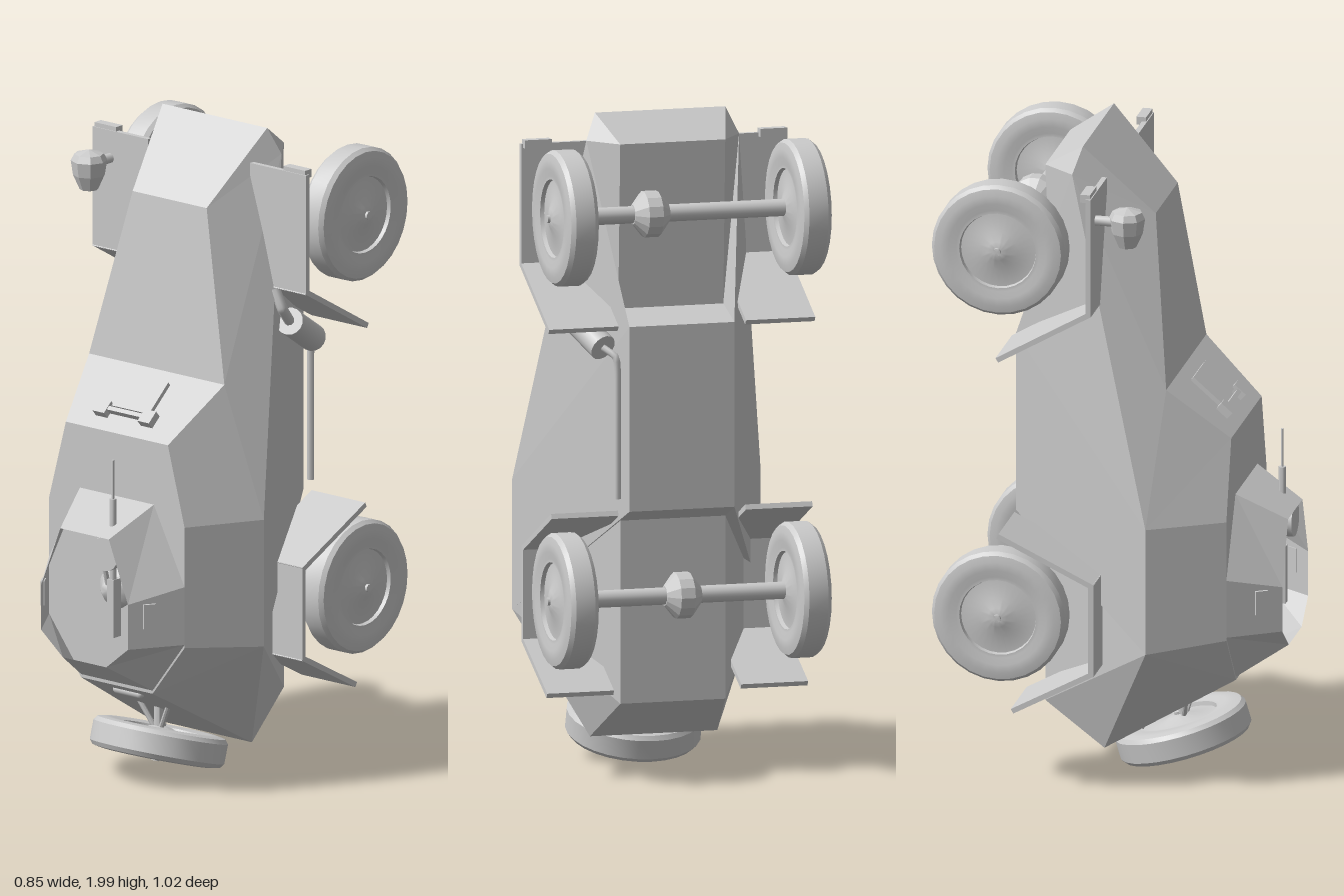
import * as THREE from 'three';
import { toCreasedNormals } from 'three/addons/utils/BufferGeometryUtils.js';

const V = (x, y, z) => new THREE.Vector3(x, y, z);
const grey = new THREE.MeshStandardMaterial({ color: 0xcccccc, flatShading: true, side: THREE.DoubleSide });
const smooth = new THREE.MeshStandardMaterial({ color: 0xcccccc, side: THREE.DoubleSide });

export function createModel() {
  const root = new THREE.Group();
  root.name = 'armouredCar';

  function add(name, geometry, pos = [0, 0, 0], parent = root, material = grey) {
    const mesh = new THREE.Mesh(geometry, material);
    mesh.name = name;
    mesh.position.set(...pos);
    parent.add(mesh);
    return mesh;
  }
  const box = (name, size, pos, parent) => add(name, new THREE.BoxGeometry(...size), pos, parent);

  // Round bar between two points
  function rod(name, a, b, r, sides = 12, r2 = r) {
    const d = b.clone().sub(a);
    const geo = toCreasedNormals(new THREE.CylinderGeometry(r2, r, d.length(), sides), 0.9);
    const mesh = add(name, geo, a.clone().add(b).multiplyScalar(0.5).toArray(), root, smooth);
    mesh.quaternion.setFromUnitVectors(V(0, 1, 0), d.normalize());
    return mesh;
  }

  // Armour shell: a centre chain of plates spanning left to right, plus mirrored side plates
  function shell(name, points, chain, sides, centre) {
    const out = [];
    const mirror = p => V(-p.x, p.y, p.z);
    const tri = (a, b, c) => {
      const n = b.clone().sub(a).cross(c.clone().sub(a));
      const mid = a.clone().add(b).add(c).divideScalar(3).sub(centre);
      const order = n.dot(mid) < 0 ? [a, c, b] : [a, b, c];
      order.forEach(p => out.push(p.x, p.y, p.z));
    };
    const pt = key => V(...points[key]);
    for (let i = 0; i + 1 < chain.length; i++) {
      const p = pt(chain[i]), q = pt(chain[i + 1]);
      tri(p, mirror(p), mirror(q));
      tri(p, mirror(q), q);
    }
    for (const face of sides) {
      const [a, ...rest] = face.map(pt);
      for (let i = 0; i + 1 < rest.length; i++) {
        tri(a, rest[i], rest[i + 1]);
        tri(mirror(a), mirror(rest[i]), mirror(rest[i + 1]));
      }
    }
    const geo = new THREE.BufferGeometry();
    geo.setAttribute('position', new THREE.Float32BufferAttribute(out, 3));
    geo.computeVertexNormals();
    return add(name, geo);
  }

  // Hull: nose (N), deck (D), widest side crease (S), tail (R), belly (B)
  shell('hull', {
    N0: [0.205, 2, -0.095], N1: [0.24, 1.92, -0.12], N2: [0.165, 1.92, -0.22],
    D0: [0.145, 1.785, 0.115], D1: [0.265, 1.27, 0.175], D2: [0.2, 1.11, 0.36],
    D3: [0.265, 0.865, 0.36], D4: [0.265, 0.49, 0.36], D5: [0.14, 0.325, 0.36],
    S1: [0.39, 0.865, 0.14], S2: [0.39, 0.47, 0.14],
    R0: [0.2, 0.1, -0.03], R1: [0.165, 0.225, -0.22],
    B1: [0.165, 1.42, -0.2], B2: [0.165, 1.38, -0.31], B3: [0.165, 0.82, -0.31], B4: [0.165, 0.78, -0.22],
  },
  ['N2', 'N0', 'D0', 'D1', 'D2', 'D3', 'D4', 'D5', 'R0', 'R1', 'B4', 'B3', 'B2', 'B1', 'N2'],
  [['N0', 'N1', 'N2'], ['N0', 'N1', 'D0'], ['N1', 'D1', 'D0'], ['N1', 'S1', 'D1'], ['D1', 'S1', 'D2'],
    ['D2', 'S1', 'D3'], ['S1', 'S2', 'D4', 'D3'], ['S2', 'D5', 'D4'], ['S2', 'R0', 'D5'],
    ['N1', 'N2', 'B1'], ['N1', 'B1', 'B2'], ['N1', 'B2', 'S1'], ['S1', 'B2', 'B3', 'S2'],
    ['S2', 'B3', 'B4'], ['S2', 'B4', 'R1', 'R0']],
  V(0, 0.95, -0.02));

  // Open-topped turret: eight leaning walls
  shell('turretWalls', {
    a: [0.145, 0.915, 0.36], b: [0.265, 0.68, 0.36], c: [0.265, 0.5, 0.36], d: [0.14, 0.335, 0.36],
    A: [0.095, 0.83, 0.51], B: [0.17, 0.64, 0.51], C: [0.17, 0.5, 0.51], D: [0.085, 0.43, 0.51],
  }, [], [['a', 'b', 'B', 'A'], ['b', 'c', 'C', 'B'], ['c', 'd', 'D', 'C']], V(0, 0.6, 0.42));
  shell('turretEndWalls', {
    a: [0.145, 0.915, 0.36], A: [0.095, 0.83, 0.51],
  }, ['a', 'A'], [], V(0, 0.6, 0.42));
  shell('turretEndWalls', {
    d: [0.14, 0.335, 0.36], D: [0.085, 0.43, 0.51],
  }, ['d', 'D'], [], V(0, 0.6, 0.42));
  for (const s of [-1, 1]) {
    const flap = box('turretVisionFlap', [0.012, 0.075, 0.04], [s * 0.208, 0.6, 0.455]);
    flap.rotation.y = -s * 0.56;
  }

  // Turret gun, drum, seat and post
  box('gunBody', [0.025, 0.18, 0.035], [0.065, 0.6, 0.45]);
  rod('gunJacket', V(0.065, 0.68, 0.455), V(0.065, 0.94, 0.455), 0.011, 10);
  rod('gunBarrel', V(0.065, 0.94, 0.455), V(0.065, 1.06, 0.455), 0.004, 8);
  rod('gunDrum', V(0.065, 0.775, 0.47), V(0.065, 0.775, 0.495), 0.052, 16);
  rod('gunMount', V(0.065, 0.74, 0.36), V(0.065, 0.74, 0.45), 0.012, 8);
  rod('seat', V(0, 0.63, 0.365), V(0, 0.63, 0.41), 0.063, 16, 0.02);
  rod('seatPost', V(0, 0.64, 0.4), V(0, 0.8, 0.44), 0.008, 8);

  // Driver's visor on the sloping front plate
  const visor = new THREE.Group();
  visor.name = 'driverVisor';
  visor.position.set(0, 1.19, 0.268);
  visor.rotation.x = -0.858;
  root.add(visor);
  box('visorFlap', [0.16, 0.12, 0.014], [0, 0.02, 0.006], visor);
  box('visorHinge', [0.2, 0.014, 0.02], [0, -0.055, 0.012], visor);
  for (const s of [-1, 1]) box('visorHingeBlock', [0.045, 0.045, 0.025], [s * 0.088, -0.055, 0.012], visor);

  // Rear vision slot
  const slot = add('rearSlot', new THREE.CapsuleGeometry(0.013, 0.09, 4, 10), [0, 0.294, 0.305], root, smooth);
  slot.rotation.z = Math.PI / 2;

  // Wheel: lathe about its own axis, outer face towards +y
  const half = [[0.012, 0.058], [0.012, 0.05], [0.03, 0.046], [0.06, 0.034], [0.115, 0.03], [0.118, 0.042],
    [0.128, 0.042], [0.15, 0.048], [0.175, 0.047], [0.195, 0.043], [0.205, 0.03]];
  const profile = [[0, 0.058], ...half].map(([r, h]) => new THREE.Vector2(r, h));
  profile.push(...profile.map(p => new THREE.Vector2(p.x, -p.y)).reverse());
  const wheelGeo = toCreasedNormals(new THREE.LatheGeometry(profile.reverse(), 28), 0.35);
  function wheel(name, pos, outward) {
    const mesh = add(name, wheelGeo, pos, root, smooth);
    mesh.quaternion.setFromUnitVectors(V(0, 1, 0), outward.normalize());
  }

  // Axles with differentials
  const diffGeo = new THREE.LatheGeometry(
    [[0, -0.055], [0.03, -0.055], [0.07, -0.022], [0.07, 0.022], [0.03, 0.055], [0, 0.055]]
      .map(p => new THREE.Vector2(...p)), 14);
  for (const [end, y, diffX] of [['front', 1.72, 0.1], ['rear', 0.56, 0]]) {
    rod(end + 'Axle', V(-0.36, y, -0.31), V(0.36, y, -0.31), 0.026, 14);
    add(end + 'Differential', diffGeo, [diffX, y, -0.31]).rotation.z = Math.PI / 2;
    for (const s of [-1, 1]) wheel(end + 'Wheel', [s * 0.366, y, -0.31], V(s, 0, 0));
  }

  // Spare wheel on its bracket
  wheel('spareWheel', [0, 0.108, 0.165], V(0, -0.957, 0.29));
  rod('spareWheelBracket', V(0, 0.1, 0.165), V(0, 0.25, 0.165), 0.014, 8);
  for (const s of [-1, 1]) rod('spareWheelStrut', V(s * 0.06, 0.24, 0.19), V(0, 0.13, 0.165), 0.008, 8);

  // Mudguards: thin bent plates swept across the wheels, given as [z, y] lines
  function mudguard(name, line, inner, outer) {
    for (const s of [-1, 1]) {
      for (let i = 0; i + 1 < line.length; i++) {
        const [z0, y0] = line[i], [z1, y1] = line[i + 1];
        const plate = box(name, [outer - inner, Math.hypot(z1 - z0, y1 - y0) + 0.012, 0.016],
          [s * (inner + outer) / 2, (y0 + y1) / 2, (z0 + z1) / 2]);
        plate.rotation.x = Math.atan2(z1 - z0, y1 - y0);
      }
    }
  }
  mudguard('frontMudguard', [[-0.03, 1.9], [-0.03, 1.54], [-0.305, 1.38]], 0.2, 0.418);
  mudguard('rearMudguard', [[-0.305, 0.815], [-0.023, 0.68], [-0.023, 0.4], [-0.26, 0.27]], 0.2, 0.41);
  for (const s of [-1, 1]) box('mudguardLip', [0.085, 0.025, 0.03], [s * 0.37, 1.907, -0.04]);

  // Headlight
  const lamp = [[0, 1.74], [0.028, 1.745], [0.048, 1.79], [0.055, 1.835], [0.045, 1.855], [0, 1.868]];
  add('headlight', new THREE.LatheGeometry(lamp.map(p => new THREE.Vector2(...p)), 8), [-0.35, 0, 0.075]);
  rod('headlightStalk', V(-0.35, 1.82, -0.03), V(-0.35, 1.82, 0.06), 0.016, 8);

  // Exhaust along the left side
  const pipe = (name, pts, r) =>
    add(name, new THREE.TubeGeometry(new THREE.CatmullRomCurve3(pts, false, 'catmullrom', 0.2), 30, r, 8), [0, 0, 0], root, smooth);
  rod('silencer', V(0.305, 1.42, -0.08), V(0.235, 1.315, -0.27), 0.042, 16);
  pipe('exhaustInlet', [V(0.29, 1.53, -0.03), V(0.315, 1.47, -0.035), V(0.305, 1.42, -0.08)], 0.016);
  pipe('exhaustTail', [V(0.235, 1.315, -0.27), V(0.205, 1.29, -0.3), V(0.2, 1.24, -0.302), V(0.2, 0.86, -0.302)], 0.011);

  return root;
}
